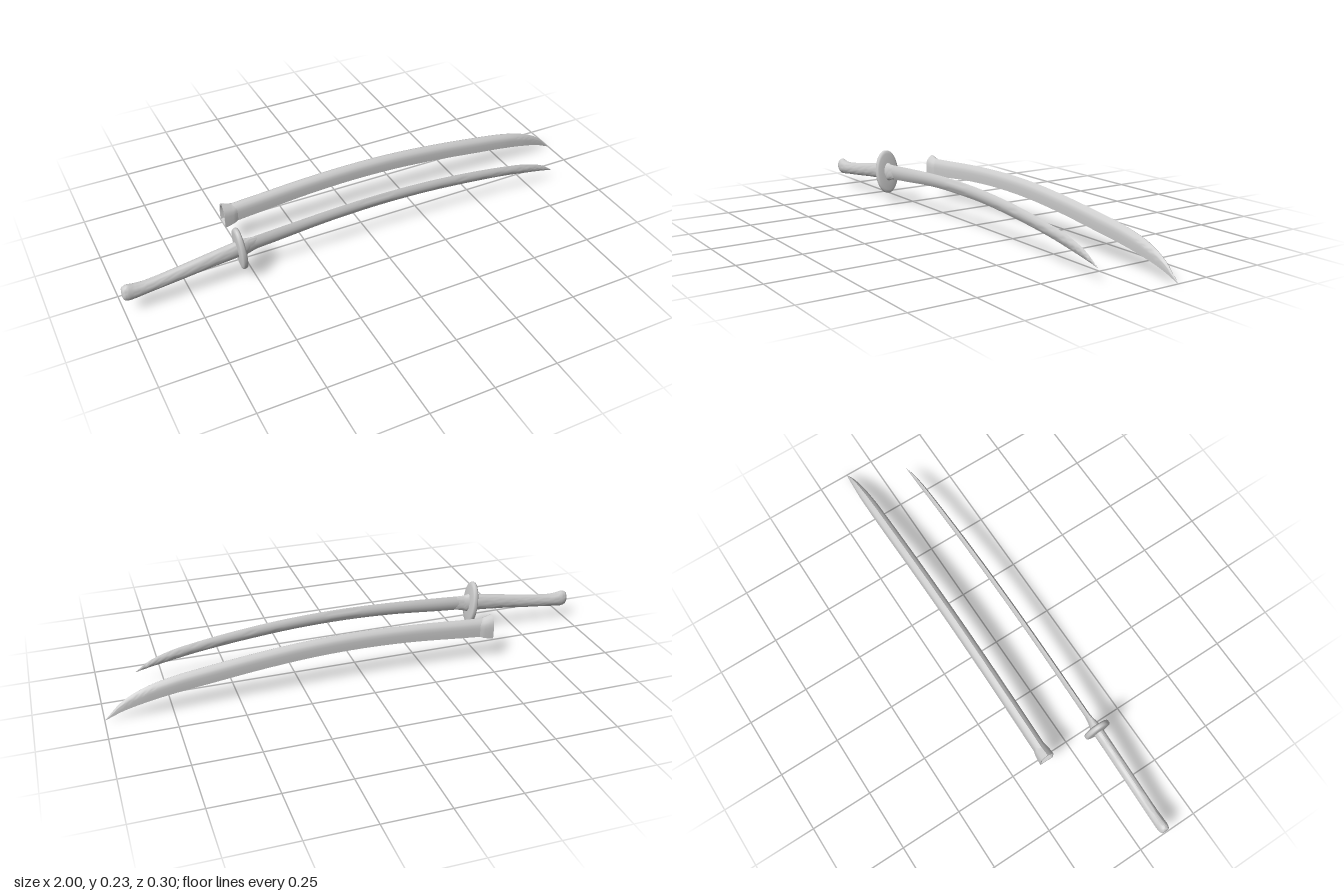
import * as THREE from 'three';
import { toCreasedNormals } from 'three/addons/utils/BufferGeometryUtils.js';

const material = new THREE.MeshStandardMaterial({ color: 0xcccccc, side: THREE.DoubleSide });

// Half sections run from top (v = 1) to bottom (v = -1) as [v, width], then get mirrored.
const mirrored = half => [...half, ...half.slice(1, -1).reverse().map(([v, w]) => [v, -w])];
const LENS = mirrored([[1, 0], [0.75, 0.45], [0.4, 0.85], [0, 1], [-0.4, 0.8], [-0.75, 0.4], [-1, 0]]);
const ARCH = mirrored([[1, 0], [0.85, 0.42], [0.62, 0.78], [0.35, 0.95], [0, 1], [-0.5, 1], [-1, 0.97], [-1, 0]]);
const OVAL = mirrored(Array.from({ length: 13 }, (_, i) => {
  const a = Math.PI * i / 12;
  return [Math.cos(a), i % 12 ? Math.sin(a) : 0];
}));

// Skins a section along x. Stations are [x, top, bottom, half width].
function loft(stations, section, { steps = 6, capStart = true, capEnd = true, crease = 0.7 } = {}) {
  const n = stations.length - 1, m = section.length, total = n * steps;
  const curve = new THREE.CatmullRomCurve3(stations.map(s => new THREE.Vector3(s[0], s[1], s[2])));
  const positions = [], index = [];
  for (let i = 0; i <= total; i++) {
    const p = curve.getPoint(i / total), k = Math.min(Math.floor(i / steps), n - 1);
    const width = THREE.MathUtils.lerp(stations[k][3], stations[k + 1][3], i / steps - k);
    const mid = (p.y + p.z) / 2, half = (p.y - p.z) / 2;
    for (const [v, w] of section) positions.push(p.x, mid + v * half, w * width);
  }
  for (let i = 0; i < total; i++) {
    for (let j = 0; j < m; j++) {
      const a = i * m + j, b = i * m + (j + 1) % m;
      index.push(a, b, a + m, b, b + m, a + m);
    }
  }
  const cap = (row, flip) => {
    const [x, top, bottom] = stations[row ? n : 0];
    const c = positions.length / 3;
    positions.push(x, (top + bottom) / 2, 0);
    for (let j = 0; j < m; j++) {
      const a = row * m + j, b = row * m + (j + 1) % m;
      index.push(c, flip ? b : a, flip ? a : b);
    }
  };
  if (capStart) cap(0, true);
  if (capEnd) cap(total, false);
  const geometry = new THREE.BufferGeometry();
  geometry.setAttribute('position', new THREE.Float32BufferAttribute(positions, 3));
  geometry.setIndex(index);
  return toCreasedNormals(geometry, crease);
}

function add(parent, name, geometry) {
  const mesh = new THREE.Mesh(geometry, material);
  mesh.name = name;
  parent.add(mesh);
  return mesh;
}

export function createModel() {
  const model = new THREE.Group();
  model.name = 'swordAndScabbard';

  const sword = new THREE.Group();
  sword.name = 'sword';
  sword.position.z = 0.1;
  model.add(sword);

  // Curved blade tapering to a drooping point
  add(sword, 'blade', loft([
    [-0.53, 0.172, 0.11, 0.010], [-0.4, 0.18, 0.12, 0.010], [-0.2, 0.191, 0.137, 0.010],
    [0, 0.196, 0.144, 0.010], [0.2, 0.191, 0.14, 0.010], [0.4, 0.175, 0.125, 0.010],
    [0.6, 0.148, 0.102, 0.009], [0.72, 0.124, 0.082, 0.008], [0.8, 0.094, 0.067, 0.005],
    [0.855, 0.056, 0.055, 0.0005]
  ], LENS));

  // Flared collar between guard and blade
  add(sword, 'collar', loft([
    [-0.55, 0.182, 0.096, 0.021], [-0.53, 0.176, 0.101, 0.019],
    [-0.51, 0.174, 0.107, 0.013], [-0.48, 0.172, 0.115, 0.008]
  ], OVAL, { steps: 3 }));

  // Oval guard with a rounded rim, square to the grip
  const rim = [[0, 0.015], [0.55, 0.014], [0.85, 0.011], [0.96, 0.009], [1, 0.004],
    [1, -0.004], [0.96, -0.009], [0.85, -0.011], [0.55, -0.014], [0, -0.015]];
  const guardGeometry = new THREE.LatheGeometry(rim.map(([r, h]) => new THREE.Vector2(r, -h)), 48);
  guardGeometry.rotateZ(Math.PI / 2).scale(1, 0.093, 0.052);
  const guard = add(sword, 'guard', guardGeometry);
  guard.position.set(-0.548, 0.137, 0);
  guard.rotation.z = 0.09;

  // Grip with a slim waist and a rounded pommel end
  add(sword, 'grip', loft([
    [-1, 0.108, 0.08, 0.009], [-0.996, 0.121, 0.066, 0.017], [-0.98, 0.127, 0.059, 0.021],
    [-0.95, 0.122, 0.061, 0.021], [-0.91, 0.121, 0.066, 0.02], [-0.8, 0.135, 0.078, 0.02],
    [-0.68, 0.154, 0.092, 0.02], [-0.55, 0.174, 0.103, 0.02]
  ], OVAL, { steps: 4 }));

  const scabbard = new THREE.Group();
  scabbard.name = 'scabbard';
  scabbard.position.z = -0.122;
  model.add(scabbard);

  // Ridged body with a flat underside, following the blade
  add(scabbard, 'scabbardBody', loft([
    [-0.5, 0.178, 0.105, 0.022], [-0.4, 0.184, 0.114, 0.022], [-0.2, 0.197, 0.132, 0.022],
    [0, 0.203, 0.14, 0.022], [0.2, 0.199, 0.136, 0.022], [0.4, 0.183, 0.12, 0.022],
    [0.6, 0.159, 0.096, 0.022], [0.75, 0.136, 0.076, 0.021], [0.85, 0.109, 0.056, 0.017],
    [0.93, 0.068, 0.032, 0.0095], [0.997, 0.003, 0, 0.0005]
  ], ARCH, { capStart: false }));

  // Flared mouth
  add(scabbard, 'scabbardMouth', loft([
    [-0.536, 0.19, 0.094, 0.029], [-0.515, 0.184, 0.097, 0.028],
    [-0.495, 0.178, 0.102, 0.026], [-0.48, 0.177, 0.107, 0.022]
  ], ARCH, { steps: 3, capStart: false, capEnd: false }));

  // Hollow inside the mouth: runs outward so its faces look inward
  add(scabbard, 'scabbardHollow', loft([
    [-0.4, 0.174, 0.122, 0.016], [-0.5, 0.169, 0.113, 0.017],
    [-0.536, 0.182, 0.101, 0.024], [-0.5361, 0.19, 0.094, 0.029]
  ], ARCH, { steps: 1, capEnd: false }));

  return model;
}
